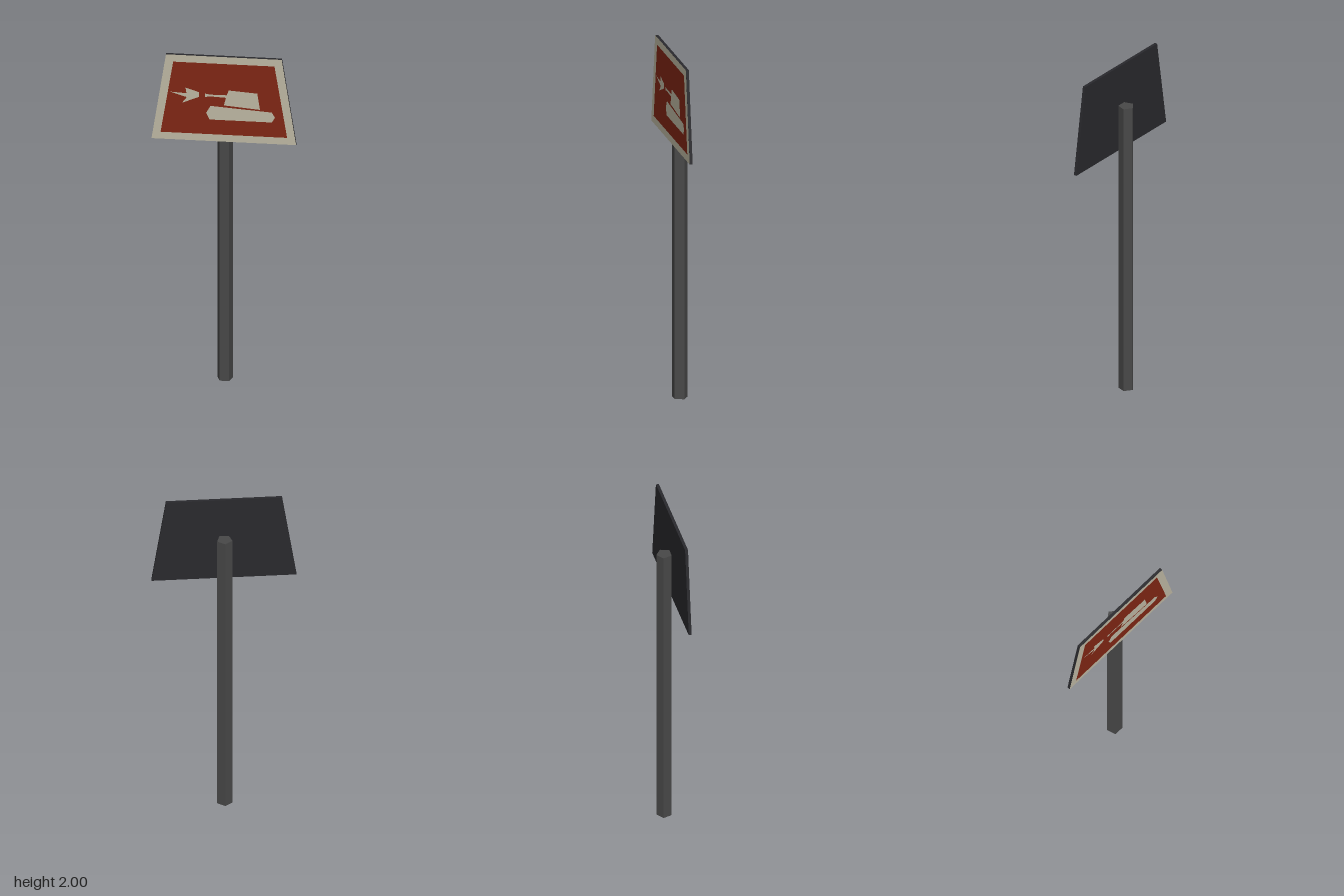
import * as THREE from 'three';

const FACE_Z = 0.048;
const mat = (color) => new THREE.MeshStandardMaterial({ color, flatShading: true });
const points = (list) => list.map(([x, y]) => new THREE.Vector2(x, y));

// Symmetric trapezoid outline
const trapezoid = (bottom, top, y0, y1) =>
  points([[-bottom, y0], [bottom, y0], [top, y1], [-top, y1]]);

export function createModel() {
  const group = new THREE.Group();
  const cream = mat(0xbdb7a2), red = mat(0x802614), dark = mat(0x29292d), grey = mat(0x484848);

  const add = (name, geometry, material) => {
    const mesh = new THREE.Mesh(geometry, material);
    mesh.name = name;
    group.add(mesh);
    return mesh;
  };
  // Flat painted area on the sign face, with cut-outs for the areas inside it
  const paint = (name, outline, holes, material) => {
    const shape = new THREE.Shape(outline);
    shape.holes = holes.map((h) => new THREE.Path(h));
    add(name, new THREE.ShapeGeometry(shape), material).position.z = FACE_Z;
  };

  // Five-sided post, with a flat side against the board
  const post = add('post', new THREE.CylinderGeometry(0.0445, 0.0445, 1.76, 5), grey);
  post.rotation.y = Math.PI;
  post.position.set(0, 0.88, -0.005);

  // Board body
  const outer = trapezoid(0.4, 0.32, 1.48, 2);
  const inner = trapezoid(0.35, 0.28, 1.522, 1.957);
  const board = new THREE.ExtrudeGeometry(new THREE.Shape(outer), { depth: 0.0165, bevelEnabled: false });
  add('board', board, dark).position.z = 0.031;

  // Pictogram outlines
  const turret = points([
    [-0.105, 1.77], [-0.105, 1.749], [-0.075, 1.754], [0.012, 1.75], [0, 1.703],
    [0.2, 1.686], [0.185, 1.785], [0.027, 1.796], [0.016, 1.766], [-0.075, 1.765],
  ]);
  const hull = points([
    [-0.074, 1.696], [-0.098, 1.652], [-0.08, 1.612], [0.265, 1.612], [0.283, 1.642], [0.265, 1.673],
  ]);
  const flash = points([
    [-0.3, 1.772], [-0.207, 1.767], [-0.212, 1.801], [-0.138, 1.777],
    [-0.138, 1.748], [-0.232, 1.706], [-0.205, 1.743],
  ]);

  // Sign face
  paint('border', outer, [inner], cream);
  paint('redField', inner, [turret, hull, flash], red);
  paint('turretSymbol', turret, [], cream);
  paint('hullSymbol', hull, [], cream);
  paint('flashSymbol', flash, [], cream);

  return group;
}
